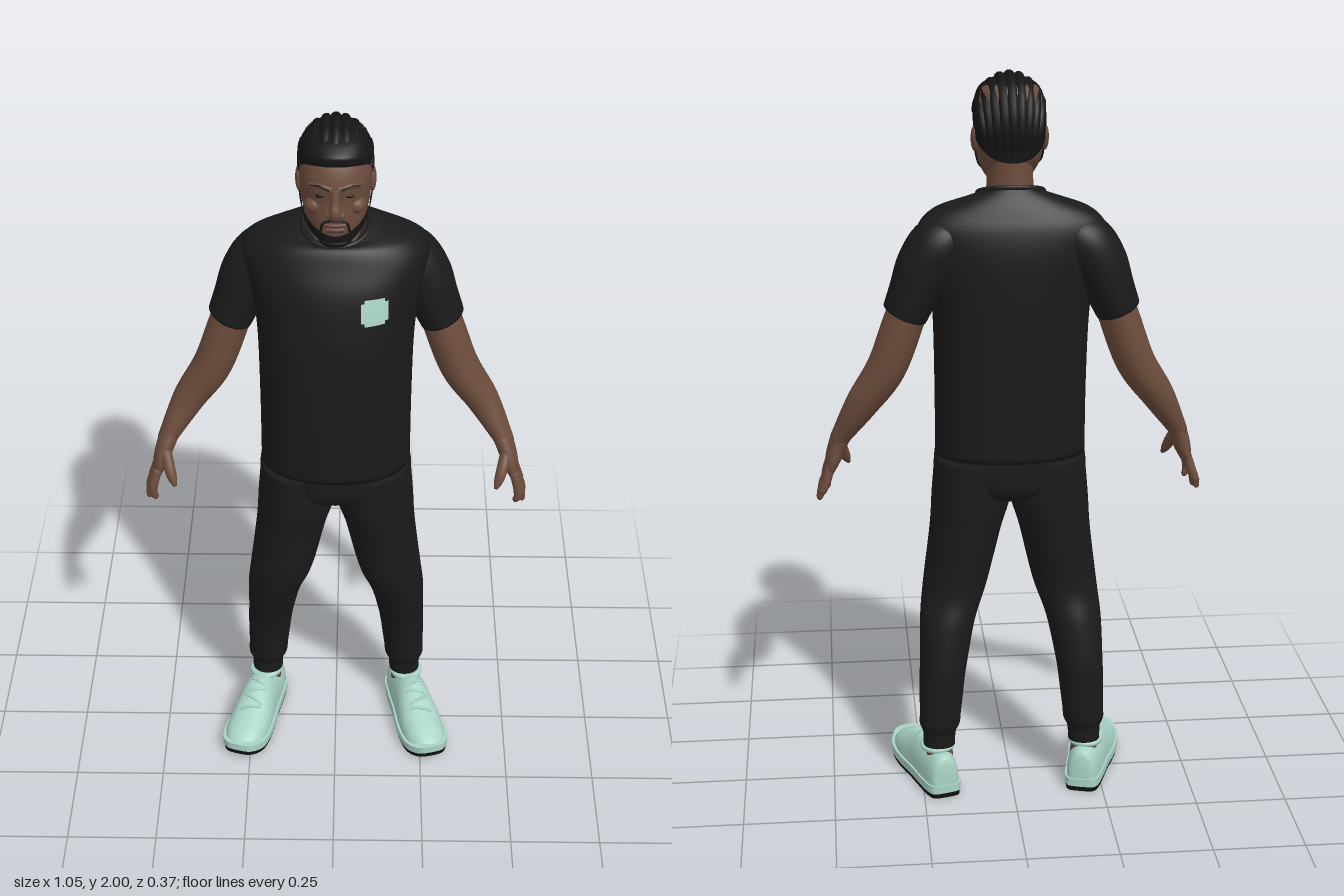
import * as THREE from 'three';
import { mergeVertices } from 'three/addons/utils/BufferGeometryUtils.js';

const mat = (name, color, side = THREE.FrontSide) => {
  const m = new THREE.MeshStandardMaterial({ color, side });
  m.name = name;
  return m;
};
const V = (x, y, z) => new THREE.Vector3(x, y, z);
const spow = (a, p) => Math.sign(a) * Math.abs(a) ** p;

// Catmull-Rom sampling of a table of section rows
function sample(rows, t) {
  const f = t * (rows.length - 1), i = Math.min(Math.floor(f), rows.length - 2), k = f - i;
  const [a, b, c, d] = [-1, 0, 1, 2].map(o => rows[Math.min(Math.max(i + o, 0), rows.length - 1)]);
  return b.map((_, j) => b[j] + 0.5 * k * (c[j] - a[j] + k * (2 * a[j] - 5 * b[j] + 4 * c[j] - d[j]
    + k * (3 * (b[j] - c[j]) + d[j] - a[j]))));
}

// Grid surface from fn(u, v); rings closed in u get both ends capped
function grid(nu, nv, fn, closed = false) {
  const pos = [], idx = [], w = closed ? nu : nu + 1, rings = [];
  for (let j = 0; j <= nv; j++) {
    rings.push(Array.from({ length: w }, (_, i) => fn(i / nu, j / nv)));
  }
  rings.forEach(r => r.forEach(p => pos.push(p.x, p.y, p.z)));
  for (let j = 0; j < nv; j++) for (let i = 0; i < nu; i++) {
    const a = j * w + i, b = j * w + (i + 1) % w;
    idx.push(a, b, b + w, a, b + w, a + w);
  }
  if (closed) [0, nv].forEach(j => {
    const c = V(0, 0, 0), n = pos.length / 3;
    rings[j].forEach(p => c.addScaledVector(p, 1 / w));
    pos.push(c.x, c.y, c.z);
    for (let i = 0; i < w; i++) {
      const a = j * w + i, b = j * w + (i + 1) % w;
      idx.push(n, ...(j ? [a, b] : [b, a]));
    }
  });
  const g = new THREE.BufferGeometry();
  g.setAttribute('position', new THREE.Float32BufferAttribute(pos, 3));
  g.setIndex(idx);
  g.computeVertexNormals();
  return g;
}

// Level section row: [y, cx, halfWidth, zFront, zWidest, zBack, tilt]
function bodyPoint(rows, n, angle, t) {
  const [y, cx, rx, zf, zm, zb, tilt = 0] = sample(rows, t);
  const c = Math.cos(angle), z = (c > 0 ? zf - zm : zm - zb) * spow(c, 2 / n);
  return V(cx + rx * spow(Math.sin(angle), 2 / n), y + tilt * z, zm + z);
}
const body = (rows, n = 2.2, seg = 40, steps = 48) =>
  grid(seg, steps, (u, v) => bodyPoint(rows, n, u * Math.PI * 2, v), true);
// Row position at a height, and the front point for a given x and y
function atHeight(rows, y) {
  let lo = 0, hi = 1;
  for (let i = 0; i < 24; i++) {
    const m = (lo + hi) / 2;
    if (sample(rows, m)[0] < y) lo = m; else hi = m;
  }
  return lo;
}
function frontPoint(rows, n, x, y, lift = 0) {
  const t = atHeight(rows, y), rx = sample(rows, t)[2];
  const p = bodyPoint(rows, n, Math.asin(spow(Math.max(-1, Math.min(1, x / rx)), n / 2)), t);
  p.z += lift;
  return p;
}

// Limb along a path, rows: [x, y, z, thickness, depth along z]
function limb(rows, seg = 20, steps = 28) {
  const at = t => V(...sample(rows, t));
  return grid(seg, steps, (u, v) => {
    const r = sample(rows, v), a = u * Math.PI * 2;
    const t = at(Math.min(1, v + 0.01)).sub(at(Math.max(0, v - 0.01))).normalize();
    const d = V(0, 0, 1).addScaledVector(t, -t.z).normalize(), s = t.clone().cross(d);
    return V(r[0], r[1], r[2]).addScaledVector(s, r[3] * Math.sin(a)).addScaledVector(d, r[4] * Math.cos(a));
  }, true);
}
const tube = (pts, r, n = 20, seg = 8) =>
  new THREE.TubeGeometry(new THREE.CatmullRomCurve3(pts), n, r, seg);
const blob = (x, y, z, sx, sy, sz) =>
  new THREE.SphereGeometry(1, 20, 14).scale(sx, sy, sz).translate(x, y, z);
function flip(geometry) {
  const g = geometry.index ? geometry.clone() : mergeVertices(geometry);
  g.scale(-1, 1, 1);
  g.index.array.reverse();
  return g;
}

const TORSO = [
  [0.985, 0, 0.202, 0.14, -0.02, -0.163, 0], [1.18, 0, 0.202, 0.145, -0.03, -0.168, 0],
  [1.37, 0, 0.206, 0.14, -0.05, -0.178, 0], [1.47, 0, 0.218, 0.125, -0.07, -0.18, 0],
  [1.55, 0, 0.236, 0.105, -0.08, -0.178, 0], [1.61, 0, 0.244, 0.078, -0.085, -0.168, 0],
  [1.65, 0, 0.21, 0.058, -0.08, -0.152, 0], [1.677, 0, 0.145, 0.047, -0.06, -0.132, -0.15],
  [1.692, 0, 0.08, 0.038, -0.04, -0.11, -0.38]];
const HEAD = [
  [1.697, 0, 0.028, 0.092, 0.05, 0.02], [1.712, 0, 0.05, 0.104, 0.03, -0.01],
  [1.74, 0, 0.07, 0.11, 0.02, -0.05], [1.78, 0, 0.083, 0.113, 0, -0.09],
  [1.83, 0, 0.089, 0.11, 0, -0.105], [1.87, 0, 0.091, 0.115, 0, -0.11],
  [1.92, 0, 0.088, 0.097, -0.01, -0.11], [1.96, 0, 0.072, 0.06, -0.01, -0.09],
  [1.98, 0, 0.035, 0.02, -0.01, -0.05]];
const HAIR = [
  [1.85, 0, 0.093, 0.098, -0.01, -0.119, 0.65], [1.9, 0, 0.094, 0.1, -0.01, -0.121, 0.4],
  [1.95, 0, 0.081, 0.075, -0.01, -0.103, 0.15], [1.977, 0, 0.05, 0.04, -0.01, -0.065, 0],
  [1.985, 0, 0.012, 0.01, -0.01, -0.03, 0]];
const LEG = [
  [0.135, 0.204, 0.044, -0.038, -0.08, -0.122], [0.175, 0.203, 0.046, -0.034, -0.08, -0.126],
  [0.2, 0.202, 0.056, -0.021, -0.08, -0.137], [0.23, 0.2, 0.057, -0.016, -0.08, -0.142],
  [0.28, 0.197, 0.06, -0.008, -0.077, -0.146], [0.34, 0.193, 0.063, 0.004, -0.07, -0.15],
  [0.39, 0.188, 0.066, 0.018, -0.067, -0.149], [0.5, 0.175, 0.076, 0.055, -0.04, -0.134],
  [0.6, 0.152, 0.088, 0.082, -0.015, -0.113], [0.76, 0.123, 0.097, 0.102, -0.018, -0.133],
  [0.86, 0.106, 0.107, 0.118, -0.015, -0.146], [0.98, 0.104, 0.098, 0.122, -0.015, -0.152]];
// Shoe upper rows along its length: [z, halfWidth, top]
const SHOE = [
  [-0.172, 0.02, 0.07], [-0.165, 0.036, 0.112], [-0.14, 0.045, 0.123], [-0.09, 0.05, 0.126],
  [-0.03, 0.054, 0.137], [0.02, 0.06, 0.118], [0.07, 0.063, 0.096], [0.12, 0.058, 0.077],
  [0.155, 0.042, 0.06], [0.172, 0.02, 0.042]];

export function createModel() {
  const skin = mat('skin', 0x6c4c3c), lip = mat('lips', 0x5e3f35), hair = mat('hair', 0x151515);
  const shirt = mat('shirt fabric', 0x1a1a1a), pants = mat('trouser fabric', 0x1b1b1b);
  const mint = mat('mint', 0xa9d2c6, THREE.DoubleSide), rubber = mat('black rubber', 0x0f0f0f);
  const beardMat = mat('beard', 0x171717, THREE.DoubleSide);
  const model = new THREE.Group();
  model.name = 'standingMan';
  const add = (name, g, m) => {
    const mesh = new THREE.Mesh(g, m);
    mesh.name = name;
    model.add(mesh);
  };
  const pair = (name, g, m) => {
    add('left ' + name, g, m);
    add('right ' + name, flip(g), m);
  };
  const onFace = (x, y, lift) => frontPoint(HEAD, 2.2, x, y, lift);

  // Shirt, collar and chest badge
  add('shirt', body(TORSO, 2.25, 56, 64), shirt);
  add('collar', tube(Array.from({ length: 25 }, (_, i) =>
    bodyPoint(TORSO, 2.25, i / 24 * Math.PI * 2, 0.985)), 0.007, 48), shirt);
  for (const [w, h] of [[0.035, 0.026], [0.026, 0.035]]) {
    add('chest badge', grid(8, 8, (u, v) =>
      frontPoint(TORSO, 2.25, 0.1 + w * (2 * u - 1), 1.51 + h * (2 * v - 1), 0.004)), mint);
  }
  pair('sleeve', limb([
    [0.14, 1.6, -0.085, 0.045, 0.06], [0.185, 1.57, -0.088, 0.075, 0.078], [0.225, 1.51, -0.086, 0.076, 0.08],
    [0.256, 1.44, -0.082, 0.066, 0.077], [0.279, 1.385, -0.078, 0.06, 0.074]], 28), shirt);

  // Arms, hands and fingers
  pair('arm', limb([
    [0.24, 1.47, -0.08, 0.045, 0.06], [0.28, 1.37, -0.076, 0.053, 0.066], [0.33, 1.235, -0.068, 0.052, 0.063],
    [0.395, 1.135, -0.055, 0.044, 0.048], [0.45, 1.04, -0.022, 0.028, 0.037], [0.46, 1.02, -0.017, 0.025, 0.035]], 24), skin);
  pair('palm', limb([
    [0.445, 1.05, -0.024, 0.026, 0.034], [0.462, 1.01, -0.012, 0.025, 0.042],
    [0.475, 0.97, -0.004, 0.022, 0.05], [0.487, 0.932, 0, 0.014, 0.047]]), skin);
  [[0.041, 0.862, 0.493], [0.014, 0.845, 0.512], [-0.013, 0.85, 0.515], [-0.037, 0.875, 0.51]].forEach(([z, y, x], i) => {
    pair('finger ' + (i + 1), limb([
      [0.483, 0.955, z * 0.9, 0.012, 0.012], [0.495, 0.915, z * 1.08, 0.0125, 0.0125],
      [(x + 0.503) / 2, 0.885, z * 1.15, 0.011, 0.0115], [x, y + 0.008, z * 1.12, 0.009, 0.01],
      [x, y, z * 1.1, 0.004, 0.004]], 12, 16), skin);
  });
  pair('thumb', limb([
    [0.462, 1.01, 0.01, 0.015, 0.017], [0.452, 0.975, 0.043, 0.016, 0.016],
    [0.442, 0.945, 0.062, 0.013, 0.013], [0.434, 0.925, 0.073, 0.005, 0.005]], 12, 16), skin);

  // Trousers
  add('hips', body([
    [0.855, 0, 0.06, 0.05, -0.015, -0.09], [0.88, 0, 0.15, 0.095, -0.015, -0.135],
    [0.92, 0, 0.203, 0.122, -0.015, -0.153], [1.0, 0, 0.2, 0.13, -0.015, -0.158],
    [1.03, 0, 0.19, 0.12, -0.015, -0.15]], 2.3), pants);
  pair('trouser leg', body(LEG, 2.1, 32, 60), pants);
  pair('ankle', new THREE.CylinderGeometry(0.036, 0.038, 0.07, 20).translate(0.204, 0.125, -0.08), skin);

  // Shoes, toes turned out
  const place = g => g.rotateY(0.28).translate(0.236, 0, 0.018);
  const topAt = (x, z) => {
    const [, w, h] = sample(SHOE, atHeight(SHOE, z));
    return V(x, 0.02 + (h - 0.02) * (1 - (x / w) ** 2) ** 0.35 + 0.002, z);
  };
  const sole = (grow, y0, y1) => {
    const side = s => SHOE.map(r => new THREE.Vector2(s * (r[1] * grow + 0.002), r[0] * 1.02));
    const outline = new THREE.SplineCurve([...side(1), ...side(-1).reverse(), side(1)[0]]).getPoints(80).slice(0, -1);
    const g = new THREE.ExtrudeGeometry(new THREE.Shape(outline), { depth: y1 - y0, bevelEnabled: false });
    g.rotateX(Math.PI / 2).translate(0, y1, 0);
    const p = g.attributes.position;
    for (let i = 0; i < p.count; i++) {
      p.setY(i, p.getY(i) + 3 * Math.max(0, p.getZ(i) - 0.09) ** 2);
    }
    return place(g);
  };
  pair('shoe upper', place(grid(28, 40, (u, v) => {
    const [z, w, h] = sample(SHOE, v), a = u * Math.PI * 2;
    return V(-w * spow(Math.sin(a), 0.9), 0.02 + (h - 0.02) * Math.max(0, Math.cos(a)) ** 0.7, z);
  }, true)), mint);
  pair('midsole', sole(1.05, 0.013, 0.036), mint);
  pair('outsole', sole(1.0, 0, 0.013), rubber);
  pair('shoe collar', place(new THREE.TorusGeometry(0.039, 0.009, 10, 28).rotateX(Math.PI / 2).translate(0, 0.126, -0.095)), mint);
  for (let i = 0; i < 4; i++) {
    const z = -0.02 + i * 0.026, s = i % 2 ? 1 : -1;
    pair('lace ' + (i + 1), place(tube([-0.03, -0.015, 0, 0.015, 0.03].map(x => topAt(x, z + s * x * 0.3)), 0.004, 12, 6)), mint);
  }

  // Neck, head and ears
  add('neck', body([
    [1.62, 0, 0.08, 0.045, -0.03, -0.11], [1.68, 0, 0.064, 0.042, -0.025, -0.1],
    [1.74, 0, 0.06, 0.045, -0.02, -0.096], [1.8, 0, 0.06, 0.04, -0.02, -0.095]], 2, 32, 20), skin);
  add('head', body(HEAD), skin);
  pair('ear', new THREE.SphereGeometry(1, 16, 12).scale(0.01, 0.034, 0.02).rotateX(-0.2).translate(0.091, 1.828, -0.02), skin);

  // Face
  add('nose bridge', limb([
    [0, 1.79, 0.112, 0.014, 0.012], [0, 1.805, 0.12, 0.016, 0.017],
    [0, 1.83, 0.114, 0.012, 0.013], [0, 1.865, 0.11, 0.01, 0.008]], 16, 16).scale(1, 1, 1), skin);
  pair('nostril', blob(0.014, 1.798, 0.114, 0.011, 0.009, 0.012), skin);
  pair('brow ridge', tube([0.008, 0.035, 0.062].map((x, i) => onFace(x, 1.866 + (i === 1 ? 0.006 : 0), -0.003)), 0.008), skin);
  pair('eyebrow', tube([0.014, 0.038, 0.062].map((x, i) => onFace(x, 1.868 + (i === 1 ? 0.006 : 0), 0.003)), 0.003), hair);
  const eye = onFace(0.035, 1.845, -0.002);
  pair('eye', blob(eye.x, eye.y, eye.z, 0.013, 0.005, 0.005), hair);
  pair('cheek', blob(0.05, 1.808, 0.078, 0.026, 0.022, 0.024), skin);
  add('upper lip', tube([-0.026, -0.01, 0, 0.01, 0.026].map(x => onFace(x, 1.768, 0.003)), 0.006), lip);
  add('lower lip', tube([-0.022, 0, 0.022].map(x => onFace(x, 1.756, 0.004)), 0.007), lip);

  // Beard along the jaw, with a thin moustache
  add('beard', grid(40, 10, (u, v) => {
    const a = (2 * u - 1) * 1.75, k = Math.abs(a) / 1.75;
    const low = 1.699 + 0.075 * k ** 2, high = 1.738 + 0.09 * k ** 1.6;
    const p = bodyPoint(HEAD, 2.2, a, atHeight(HEAD, low + (high - low) * v));
    return p.add(V(Math.sin(a) * 0.005, 0, Math.cos(a) * 0.007));
  }), beardMat);
  add('chin beard', blob(0, 1.713, 0.083, 0.042, 0.018, 0.032), beardMat);
  add('moustache', tube([-0.036, -0.028, 0, 0.028, 0.036].map((x, i) =>
    onFace(x, [1.745, 1.772, 1.781, 1.772, 1.745][i], 0.001)), 0.0035, 28), beardMat);

  // Hair cap and braids swept to the nape
  add('hair cap', body(HAIR, 2.1), hair);
  for (let i = 0; i < 9; i++) {
    const b = (i - 4) / 4 * 1.12;
    const pts = Array.from({ length: 13 }, (_, k) => {
      const s = k / 12, t = 0.5 + s * 3.1, q = b * (1 - 0.3 * s * s);
      return V(0.09 * Math.sin(q), 1.863 + 0.123 * Math.cos(q) * Math.sin(t), -0.012 + 0.11 * Math.cos(q) * Math.cos(t));
    });
    add('braid ' + (i + 1), tube(pts, 0.0135, 36, 10), hair);
  }
  return model;
}
